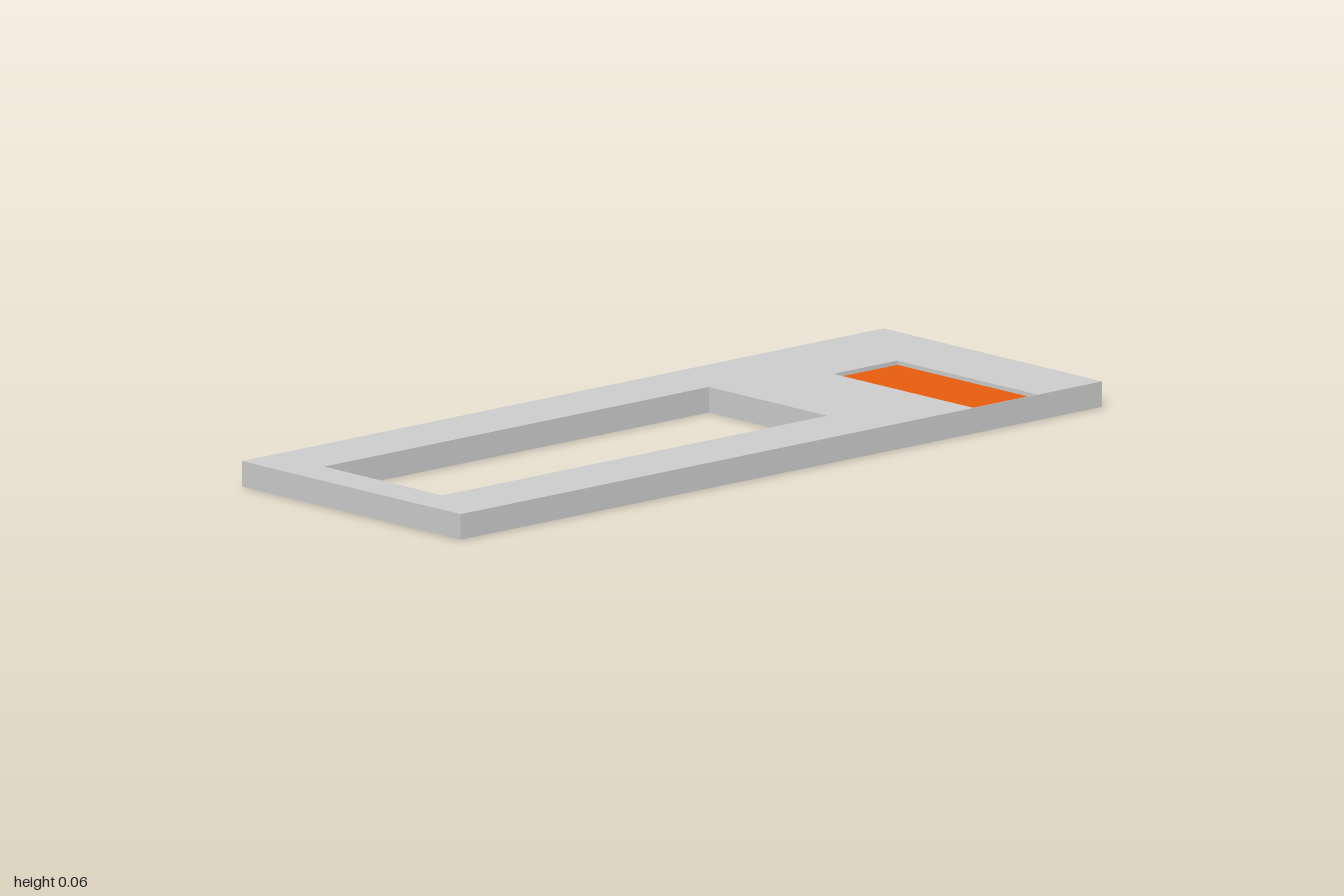
import * as THREE from 'three';

const HEIGHT = 0.06, HALF_DEPTH = 0.369;

// Rectangle in plan; shape y maps to -z once the extrusion is laid flat
function trace(path, x0, x1, z0, z1) {
  path.moveTo(x0, -z1);
  path.lineTo(x1, -z1);
  path.lineTo(x1, -z0);
  path.lineTo(x0, -z0);
  path.closePath();
  return path;
}

export function createModel() {
  const group = new THREE.Group();
  group.name = 'slottedPlate';

  // Pocket stops a hair short of the front so the front face stays whole
  const pocket = { x0: 0.6, x1: 0.8, z0: -0.105, z1: HALF_DEPTH - 0.002 };

  // Plate with the large window and the pocket cut through it
  const outline = trace(new THREE.Shape(), -1, 1, -HALF_DEPTH, HALF_DEPTH);
  outline.holes.push(
    trace(new THREE.Path(), -0.9, 0.3, -0.2, 0.2),
    trace(new THREE.Path(), pocket.x0, pocket.x1, pocket.z0, pocket.z1)
  );
  const plateGeometry = new THREE.ExtrudeGeometry(outline, { depth: HEIGHT, bevelEnabled: false });
  plateGeometry.rotateX(-Math.PI / 2);
  const plate = new THREE.Mesh(plateGeometry, new THREE.MeshStandardMaterial({ color: 0xcccccc }));
  plate.name = 'plate';
  group.add(plate);

  // Orange inlay, flush below and slightly sunken above
  const inlayHeight = HEIGHT - 0.01;
  const inlay = new THREE.Mesh(
    new THREE.BoxGeometry(pocket.x1 - pocket.x0, inlayHeight, pocket.z1 - pocket.z0),
    new THREE.MeshStandardMaterial({ color: 0xe65c0c })
  );
  inlay.position.set((pocket.x0 + pocket.x1) / 2, inlayHeight / 2, (pocket.z0 + pocket.z1) / 2);
  inlay.name = 'inlay';
  group.add(inlay);

  return group;
}
